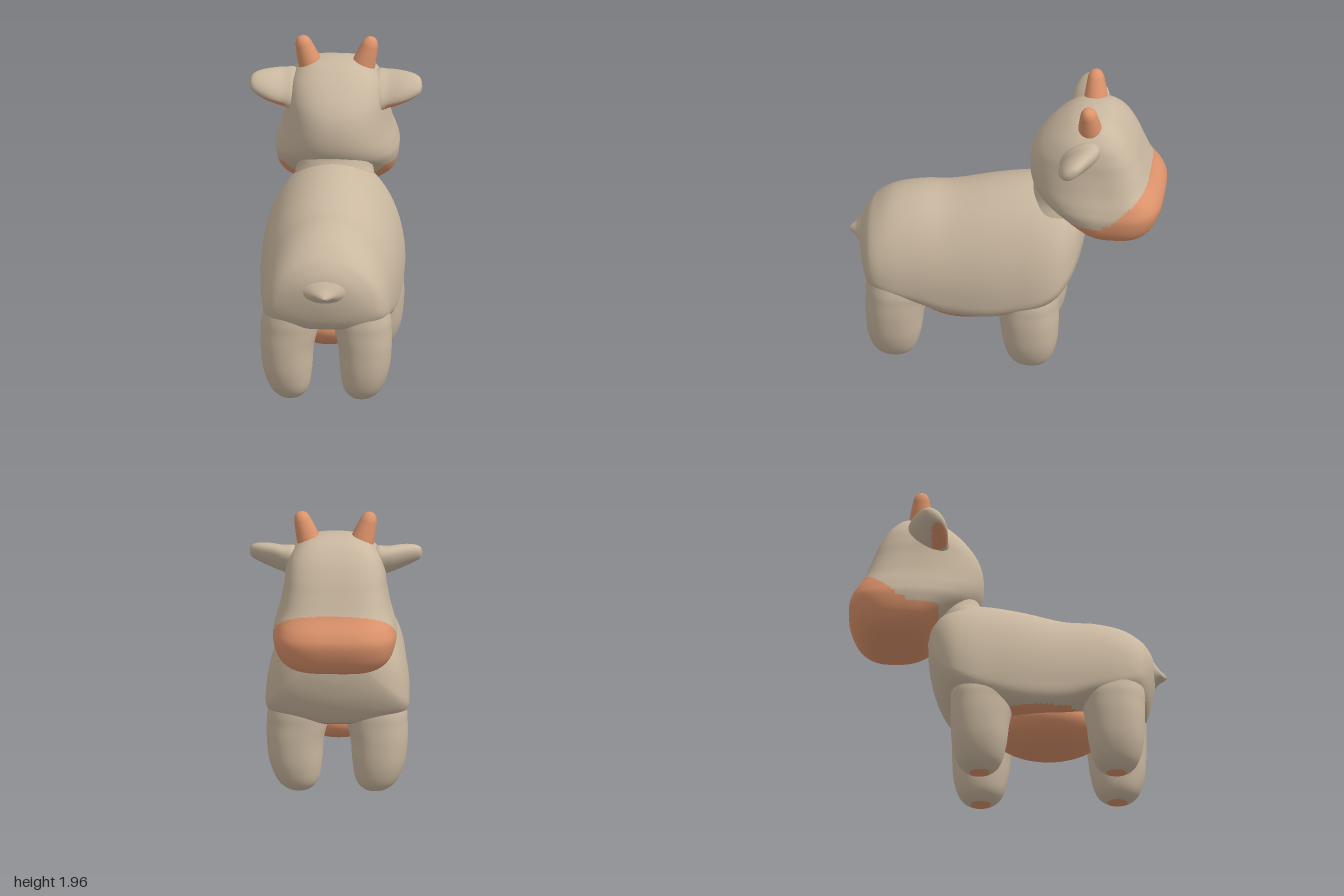
import * as THREE from 'three';
import { mergeVertices } from 'three/addons/utils/BufferGeometryUtils.js';

const hide = new THREE.MeshStandardMaterial({ color: 0xcab8a0 });
hide.name = 'tan hide';
const skin = new THREE.MeshStandardMaterial({ color: 0xde946c });
skin.name = 'peach skin';

const spow = (v, p) => Math.sign(v) * Math.pow(Math.abs(v), p);

// Smooth interpolation of one column of the section table
function catmull(a, b, c, d, t) {
  return b + 0.5 * t * (c - a + t * (2 * a - 5 * b + 4 * c - d + t * (3 * (b - c) + d - a)));
}

// Closed skin over sections [s, uLow, uHigh, uWidest, halfWidth, vCentre, lowSquareness].
// place(s, u, v) gives [x, y, z]; isSkin(x, y, z) picks the faces of the second colour.
function loft(name, rows, place, { eLow = 2, eHigh = 2, around = 48, steps = 6, isSkin = () => false } = {}) {
  const pos = [], last = rows.length - 1, rings = last * steps;
  const defaults = [0, 0, 0, 0, 0, 0, eLow];
  for (let i = 0; i <= rings; i++) {
    const k = Math.min(Math.floor(i / steps), last - 1), t = i / steps - k;
    const r = [k - 1, k, k + 1, k + 2].map(n => rows[THREE.MathUtils.clamp(n, 0, last)]);
    const [s, lo, hi, mid, w, vc, square] = defaults.map((def, c) =>
      catmull(...r.map(row => row[c] ?? def), t));
    for (let j = 0; j < around; j++) {
      const a = j / around * Math.PI * 2, c = Math.cos(a);
      const e = 2 / (c > 0 ? eHigh : square);
      const u = mid + (c > 0 ? hi - mid : mid - lo) * spow(c, e);
      pos.push(...place(s, u, vc + w * spow(Math.sin(a), e)));
    }
  }
  const faces = [[], []], P = n => new THREE.Vector3().fromArray(pos, n * 3);
  let volume = 0;
  const tri = (a, b, c) => {
    const A = P(a), B = P(b), C = P(c);
    volume += A.dot(B.clone().cross(C));
    const m = A.add(B).add(C).divideScalar(3);
    faces[isSkin(m.x, m.y, m.z) ? 1 : 0].push([a, b, c]);
  };
  for (let i = 0; i < rings; i++) for (let j = 0; j < around; j++) {
    const n = (j + 1) % around, a = i * around + j, b = i * around + n;
    tri(a, b, a + around);
    tri(b, b + around, a + around);
  }
  // Turn all faces outward
  const index = faces.flat().flatMap(([a, b, c]) => volume > 0 ? [a, b, c] : [a, c, b]);
  let g = new THREE.BufferGeometry();
  g.setAttribute('position', new THREE.Float32BufferAttribute(pos, 3));
  g.setIndex(index);
  g.addGroup(0, faces[0].length * 3, 0);
  g.addGroup(faces[0].length * 3, faces[1].length * 3, 1);
  g = mergeVertices(g, 1e-5);
  g.computeVertexNormals();
  const mesh = new THREE.Mesh(g, [hide, skin]);
  mesh.name = name;
  return mesh;
}

const alongZ = (s, u, v) => [v, u, s];
const alongY = (s, u, v) => [v, s, u];

// Trunk from rump to chest: z, belly y, back y, widest y, half width, x, squareness below
const bodyRows = [
  [0.93, 0.78, 0.78, 0.78, 0, 0, 2], [0.915, 0.67, 0.87, 0.77, 0.14, 0, 2], [0.88, 0.56, 0.94, 0.7, 0.27, 0, 2.3],
  [0.83, 0.51, 0.995, 0.65, 0.355, 0, 2.5], [0.72, 0.49, 1.07, 0.61, 0.395, 0, 2.8],
  [0.55, 0.455, 1.115, 0.6, 0.41, 0, 3.5], [0.35, 0.395, 1.13, 0.6, 0.425, 0, 4.2],
  [0.1, 0.395, 1.195, 0.6, 0.445, 0, 4.2], [-0.1, 0.43, 1.235, 0.6, 0.45, 0, 3.2],
  [-0.25, 0.46, 1.245, 0.62, 0.445, 0, 2.4], [-0.36, 0.52, 1.23, 0.68, 0.405, 0, 2.1],
  [-0.44, 0.65, 1.18, 0.78, 0.31, 0, 2], [-0.485, 0.8, 1.1, 0.9, 0.18, 0, 2],
  [-0.5, 0.93, 0.93, 0.93, 0, 0, 2],
];
// Neck: y, front z, back z, widest z, half width
const neckRows = [
  [0.88, -0.3, -0.3, -0.3, 0], [0.93, -0.475, -0.1, -0.28, 0.27], [1.05, -0.505, -0.1, -0.28, 0.262],
  [1.13, -0.52, -0.12, -0.3, 0.25], [1.2, -0.54, -0.15, -0.33, 0.235], [1.26, -0.55, -0.175, -0.35, 0.235],
  [1.33, -0.55, -0.2, -0.36, 0.22], [1.37, -0.36, -0.36, -0.36, 0],
];
// Head from jaw to crown: y, front z, back z, widest z, half width
const headRows = [
  [0.975, -0.72, -0.72, -0.72, 0], [0.985, -0.83, -0.57, -0.7, 0.2], [1.02, -0.9, -0.48, -0.67, 0.3],
  [1.09, -0.96, -0.39, -0.64, 0.362], [1.2, -0.997, -0.24, -0.64, 0.388], [1.28, -0.98, -0.175, -0.63, 0.375],
  [1.38, -0.915, -0.15, -0.6, 0.345], [1.5, -0.865, -0.16, -0.57, 0.322], [1.6, -0.825, -0.205, -0.55, 0.31],
  [1.7, -0.77, -0.29, -0.54, 0.28], [1.78, -0.7, -0.39, -0.54, 0.21], [1.815, -0.63, -0.47, -0.55, 0.12],
  [1.828, -0.55, -0.55, -0.55, 0],
];
// Leg from sole to hip: y, outer z, inner z, widest z, half width, x
const legRows = [
  [0.005, 0, 0, 0, 0, 0.24], [0.02, -0.075, 0.075, 0, 0.07, 0.24], [0.08, -0.135, 0.135, 0, 0.13, 0.247],
  [0.2, -0.17, 0.17, 0, 0.165, 0.26], [0.35, -0.18, 0.19, 0, 0.18, 0.263], [0.46, -0.18, 0.215, 0, 0.192, 0.25],
  [0.56, -0.178, 0.25, 0, 0.19, 0.24], [0.74, -0.14, 0.2, 0, 0.14, 0.22], [0.82, 0, 0, 0, 0, 0.2],
];
// Ear from root to tip: x, low y, high y, middle y, half depth, z
const earRows = [
  [0.2, 1.62, 1.62, 1.62, 0, -0.49], [0.25, 1.52, 1.71, 1.615, 0.12, -0.49], [0.33, 1.54, 1.715, 1.63, 0.12, -0.49],
  [0.42, 1.58, 1.73, 1.657, 0.1, -0.47], [0.49, 1.615, 1.73, 1.675, 0.072, -0.46],
  [0.53, 1.64, 1.715, 1.68, 0.042, -0.455], [0.543, 1.68, 1.68, 1.68, 0, -0.45],
];
// Tail stub: z, low y, high y, middle y, half width
const tailRows = [
  [0.82, 0.79, 0.79, 0.79, 0], [0.865, 0.66, 0.92, 0.79, 0.23], [0.91, 0.705, 0.87, 0.785, 0.145],
  [0.95, 0.743, 0.818, 0.78, 0.075], [0.98, 0.752, 0.793, 0.772, 0.032], [1.0, 0.772, 0.772, 0.772, 0],
];

// The muzzle colour climbs from the jaw to the bridge of the nose
const onMuzzle = (x, y, z) => z < -0.43 && y < 1.15 + 0.85 * Math.max(0, -0.63 - z);

// The underside colour covers the belly and runs on between the legs
const onUnderside = (x, y, z) => (y < 0.425 && z > -0.15 && z < 0.6)
  || (y < 0.51 && z > -0.32 && z < 0.72 && Math.abs(x) < 0.17);

// Short tapered horn with a round tip
function horn(side) {
  const curve = new THREE.SplineCurve([[0.078, -0.04], [0.075, 0.02], [0.066, 0.08], [0.057, 0.13],
    [0.048, 0.17], [0.028, 0.2], [0, 0.209]].map(p => new THREE.Vector2(...p)));
  const mesh = new THREE.Mesh(new THREE.LatheGeometry(curve.getPoints(28), 24), skin);
  mesh.position.set(side * 0.163, 1.762, -0.543);
  mesh.rotation.set(0.03, 0, -side * 0.3);
  return mesh;
}

export function createModel() {
  const model = new THREE.Group();
  model.name = 'toyCow';

  model.add(loft('body', bodyRows, alongZ, { around: 72, steps: 8, isSkin: onUnderside }));
  model.add(loft('neck', neckRows, alongY));
  const belly = new THREE.Mesh(new THREE.SphereGeometry(1, 40, 28).scale(0.3, 0.172, 0.365), skin);
  belly.name = 'belly';
  belly.position.set(0, 0.415, 0.255);
  model.add(belly);
  model.add(loft('tail', tailRows, alongZ));
  model.add(loft('head', headRows, alongY, { eLow: 3.4, eHigh: 2.3, around: 128, steps: 10, isSkin: onMuzzle }));

  for (const side of [1, -1]) {
    const label = side > 0 ? 'Left' : 'Right';

    // Legs, the rear pair turned front to back and slightly closer together
    for (const [name, z, turn, spread] of [['frontLeg', -0.175, 1, 1], ['rearLeg', 0.685, -1, 0.93]]) {
      model.add(loft(name + label, legRows, (s, u, v) => [side * spread * v, s, z + turn * u],
        { eLow: 2.2, eHigh: 2.2, isSkin: (x, y) => y < 0.014 }));
    }

    // Ears, tilted down toward the back, with a coloured patch underneath
    model.add(loft('ear' + label, earRows, (s, u, v) => [side * s, u - 0.45 * (v + 0.47), v], {
      isSkin: (x, y, z) => Math.abs(x) > 0.32 && z > -0.47 && y < 1.585 + 0.25 * (Math.abs(x) - 0.38),
    }));

    const h = horn(side);
    h.name = 'horn' + label;
    model.add(h);
  }
  return model;
}
